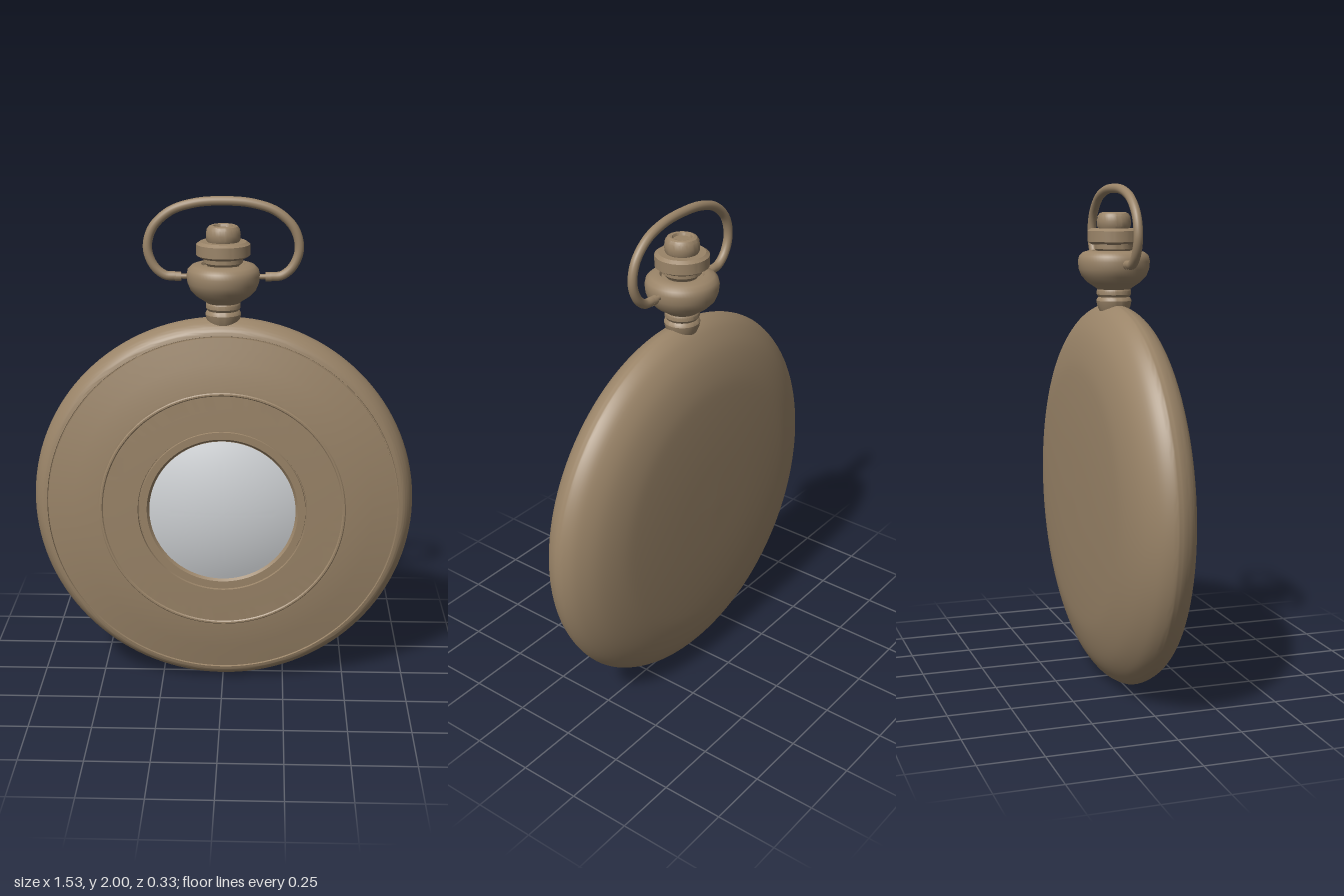
import * as THREE from 'three';
import { toCreasedNormals } from 'three/addons/utils/BufferGeometryUtils.js';

const CENTRE_Y = 0.766;

// Turned solid around y from [radius, height] pairs, listed bottom to top
function turned(points, segments, crease = 0.5) {
  const geometry = new THREE.LatheGeometry(points.map(([r, h]) => new THREE.Vector2(r, h)), segments);
  return toCreasedNormals(geometry, crease);
}

export function createModel() {
  const group = new THREE.Group();
  const brass = new THREE.MeshStandardMaterial({ color: 0x9a8468 });
  brass.name = 'brass';
  const glass = new THREE.MeshStandardMaterial({ color: 0xd0d3d6 });
  glass.name = 'glass';

  const add = (name, geometry, material = brass) => {
    const mesh = new THREE.Mesh(geometry, material);
    mesh.name = name;
    group.add(mesh);
    return mesh;
  };
  // Turned part whose axis points to the front
  const addDisc = (name, points, material) => {
    const mesh = add(name, turned(points, 128).rotateX(Math.PI / 2), material);
    mesh.position.y = CENTRE_Y;
  };

  // Case: domed back and rounded rim, up to the lid seam
  const rim = new THREE.SplineCurve([
    [0, -0.168], [0.25, -0.165], [0.45, -0.156], [0.56, -0.143], [0.66, -0.112], [0.73, -0.066],
    [0.762, -0.02], [0.764, 0.012], [0.75, 0.048], [0.728, 0.073], [0.707, 0.081],
  ].map(([r, z]) => new THREE.Vector2(r, z))).getPoints(48);
  rim[0].x = 0;
  addDisc('case', [...rim.map((p) => [p.x, p.y]), [0.705, 0.074], [0.69, 0.074]]);

  // Front lid with a fine raised ring and a sunken edge around the window
  addDisc('lid', [
    [0.701, 0.07], [0.701, 0.082], [0.66, 0.091], [0.60, 0.104], [0.55, 0.114], [0.50, 0.121],
    [0.492, 0.122], [0.488, 0.126], [0.482, 0.126], [0.478, 0.122], [0.42, 0.125],
    [0.338, 0.127], [0.336, 0.118], [0.332, 0.118],
  ]);
  addDisc('windowBezel', [[0.334, 0.112], [0.331, 0.125], [0.302, 0.125], [0.292, 0.112], [0.28, 0.11]]);

  // Shallow glass dome
  const dome = [];
  for (let i = 0; i <= 16; i++) {
    const r = 0.292 * (1 - i / 16);
    dome.push([r, 0.166 - 0.048 * (r / 0.292) ** 2]);
  }
  addDisc('glassDome', dome, glass);

  // Neck between case and pendant
  add('neck', turned([
    [0.055, 1.50], [0.066, 1.525], [0.07, 1.545], [0.066, 1.555], [0.061, 1.56],
    [0.068, 1.57], [0.068, 1.585], [0.06, 1.60],
  ], 48));

  // Bulbous pendant that carries the bow
  add('pendant', turned([
    [0.058, 1.585], [0.075, 1.598], [0.105, 1.618], [0.128, 1.642], [0.139, 1.67],
    [0.142, 1.70], [0.137, 1.721], [0.122, 1.735], [0.10, 1.742], [0.085, 1.742], [0.078, 1.73], [0, 1.73],
  ], 64, 0.7));

  // Winding crown: stem, collar and hollow-topped cap
  add('crownStem', turned([
    [0.055, 1.72], [0.062, 1.735], [0.076, 1.748], [0.076, 1.765], [0.065, 1.78],
  ], 48));
  add('crownCollar', turned([
    [0, 1.766], [0.088, 1.766], [0.104, 1.776], [0.104, 1.818], [0.09, 1.828], [0, 1.828],
  ], 64));
  add('crownCap', turned([
    [0.058, 1.82], [0.066, 1.835], [0.067, 1.855], [0.064, 1.875], [0.056, 1.886], [0.046, 1.89],
    [0.038, 1.888], [0.034, 1.878], [0, 1.878],
  ], 48));

  // Oval bow, open at the bottom, mirrored from its right half
  const half = [[0.182, 1.692], [0.225, 1.696], [0.268, 1.732], [0.292, 1.80], [0.272, 1.878],
    [0.205, 1.942], [0.11, 1.974]];
  const path = [...half, [0, 1.982], ...half.map(([x, y]) => [-x, y]).reverse()];
  const curve = new THREE.CatmullRomCurve3(path.map(([x, y]) => new THREE.Vector3(x, y, 0)));
  add('bow', new THREE.TubeGeometry(curve, 120, 0.018, 16));

  // Bow ends and the thin pins that hold them
  for (const side of [1, -1]) {
    const end = add('bowEnd', new THREE.CylinderGeometry(0.018, 0.018, 0.024, 16));
    end.rotation.z = Math.PI / 2;
    end.position.set(side * 0.175, 1.691, 0);
    const pin = add('bowPin', new THREE.CylinderGeometry(0.01, 0.01, 0.08, 12));
    pin.rotation.z = Math.PI / 2;
    pin.position.set(side * 0.145, 1.691, 0);
  }

  return group;
}
